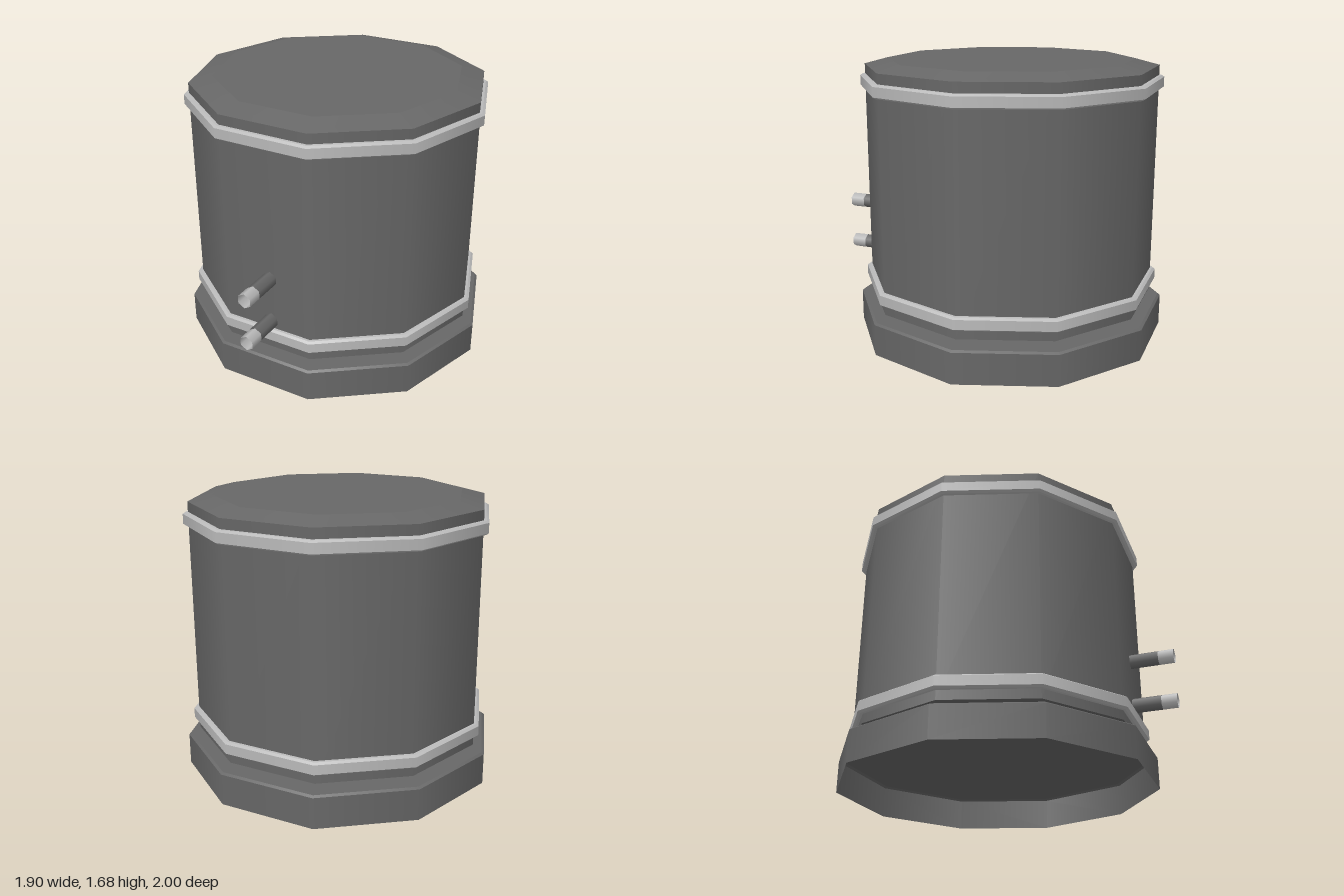
import * as THREE from 'three';
import { mergeGeometries } from 'three/addons/utils/BufferGeometryUtils.js';

const SIDES = 10;
const TURN = Math.PI / 10; // puts corners on the left and right

const darkGrey = new THREE.MeshStandardMaterial({ name: 'darkGrey', color: 0x676767, side: THREE.DoubleSide });
const lightGrey = new THREE.MeshStandardMaterial({ name: 'lightGrey', color: 0xbababa, side: THREE.DoubleSide });

// Stack of ten-sided bands from [radius, y] points listed upwards:
// smooth around, sharp between bands
function bands(profile) {
  const parts = [];
  for (let i = 1; i < profile.length; i++) {
    const [r0, y0] = profile[i - 1];
    const [r1, y1] = profile[i];
    const g = new THREE.CylinderGeometry(r1, r0, y1 - y0, SIDES, 1, true, TURN);
    parts.push(g.translate(0, (y0 + y1) / 2, 0));
  }
  return parts;
}

// Flat ten-sided lid facing up
function lid(radius, y) {
  return new THREE.CircleGeometry(radius, SIDES).rotateX(-Math.PI / 2).translate(0, y, 0);
}

function add(group, name, geometries, material) {
  const mesh = new THREE.Mesh(mergeGeometries(geometries), material);
  mesh.name = name;
  group.add(mesh);
  return mesh;
}

export function createModel() {
  const model = new THREE.Group();
  model.name = 'storageTank';

  const tank = new THREE.Group();
  tank.name = 'tank';
  tank.position.z = -0.095;
  model.add(tank);

  // Plinth, hollow underneath
  add(tank, 'base', [...bands([[0.95, 0], [0.95, 0.188], [0.935, 0.198]]), lid(0.935, 0.198)], darkGrey);

  // Main drum with bevelled ends
  add(tank, 'drum', [
    ...bands([[0.74, 0.2], [0.88, 0.237], [0.88, 1.64], [0.74, 1.677]]),
    lid(0.74, 1.677),
  ], darkGrey);

  // Hoops around the drum
  for (const [name, y] of [['lowerHoop', 0.292], ['upperHoop', 1.5]]) {
    add(tank, name, bands([
      [0.875, y], [0.895, y + 0.002], [0.91, y + 0.012],
      [0.91, y + 0.07], [0.895, y + 0.08], [0.875, y + 0.082],
    ]), lightGrey);
  }

  // Open six-sided pipes with light tips
  const tube = (z0, z1) => new THREE.CylinderGeometry(0.045, 0.045, z1 - z0, 6, 1, true)
    .rotateX(Math.PI / 2).translate(0, 0, (z0 + z1) / 2);
  for (const [name, y] of [['lowerPipe', 0.425], ['upperPipe', 0.705]]) {
    const pipe = new THREE.Group();
    pipe.name = name;
    pipe.position.set(0.018, y, 0);
    add(pipe, 'pipeStem', [tube(0.72, 0.91)], darkGrey);
    add(pipe, 'pipeTip', [tube(0.91, 1)], lightGrey);
    model.add(pipe);
  }
  return model;
}
